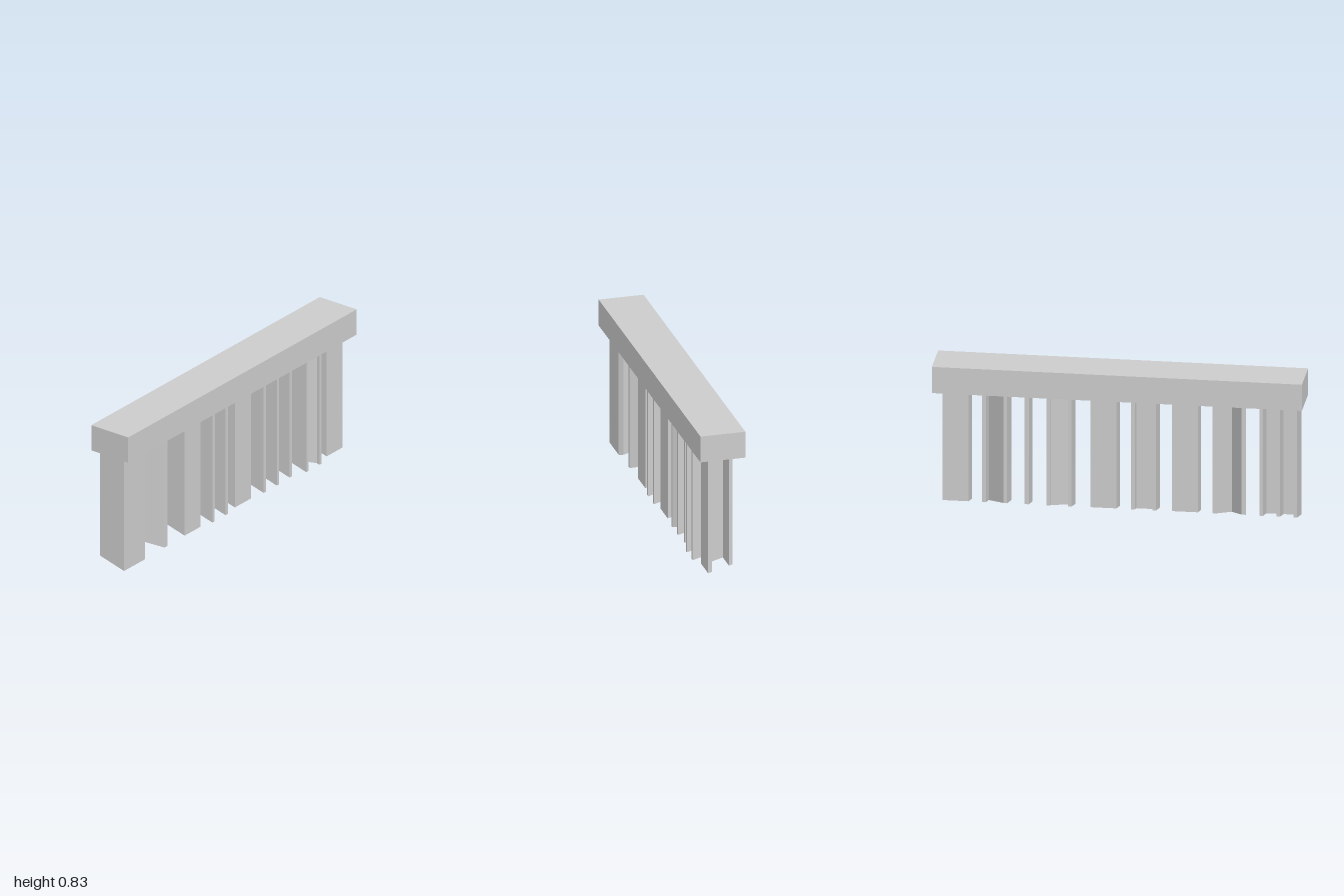
import * as THREE from 'three';

const TOP = 0.675;
const T = 0.02; // plate thickness
const material = new THREE.MeshStandardMaterial({ color: 0xcccccc, flatShading: true });

// Upright prism from [x, z] plan points; its foot is cut along a sloping plane
function prism(name, plan) {
  const shape = new THREE.Shape(plan.map(([x, z]) => new THREE.Vector2(x, -z)));
  const g = new THREE.ExtrudeGeometry(shape, { depth: TOP, bevelEnabled: false });
  g.rotateX(-Math.PI / 2);
  const p = g.attributes.position;
  for (let i = 0; i < p.count; i++) {
    if (p.getY(i) < 0.01) p.setY(i, 0.025 - 0.27 * p.getZ(i));
  }
  g.computeVertexNormals();
  const mesh = new THREE.Mesh(g, material);
  mesh.name = name;
  return mesh;
}

const plate = (name, x0, x1, z0, z1) => prism(name, [[x0, z0], [x1, z0], [x1, z1], [x0, z1]]);

function cluster(name, ...parts) {
  const group = new THREE.Group();
  group.name = name;
  group.add(...parts);
  return group;
}

// Channel section open towards +x
function channel(x0, x1, zb, zf) {
  return cluster('channelRib', prism('channel', [
    [x0, zb], [x1, zb], [x1, zb + T], [x0 + T, zb + T],
    [x0 + T, zf - T], [x1, zf - T], [x1, zf], [x0, zf],
  ]));
}

// Two side plates joined by a web running from z0 (left edge) to z1 (right edge)
function webbed(x0, x1, zb, zf, z0, z1, w) {
  return cluster('webbedRib',
    plate('sidePlate', x0, x0 + T, zb, zf),
    plate('sidePlate', x1 - T, x1, zb, zf),
    prism('web', [[x0 + T, z0 - w], [x1 - T, z1 - w], [x1 - T, z1 + w], [x0 + T, z0 + w]]));
}

export function createModel() {
  const model = new THREE.Group();
  model.name = 'ribbedBeam';

  // Top beam
  const beam = new THREE.Mesh(new THREE.BoxGeometry(2, 0.15, 0.25), material);
  beam.name = 'beam';
  beam.position.y = 0.75;
  model.add(beam);

  // Comb rib: front plate with a chamfered corner and three fins behind
  model.add(cluster('combRib',
    prism('frontPlate', [[-0.97, 0.052], [-0.765, 0.052], [-0.785, 0.074], [-0.97, 0.074]]),
    ...[-0.97, -0.877, -0.785].map((x) => plate('fin', x, x + T, -0.088, 0.052))));

  // Angled rib with its edge to the front
  model.add(cluster('angledRib', prism('angle', [
    [-0.69, -0.075], [-0.668, -0.075], [-0.598, 0.045], [-0.532, -0.075],
    [-0.51, -0.075], [-0.586, 0.07], [-0.61, 0.07],
  ])));

  // Channels, webbed ribs and a single plate along the beam
  model.add(
    channel(-0.43, -0.29, -0.068, 0.066),
    webbed(-0.205, -0.07, -0.075, 0.08, 0, 0, 0.01),
    channel(0.01, 0.15, -0.068, 0.066),
    webbed(0.25, 0.385, -0.085, 0.075, 0.055, -0.05, 0.016),
    cluster('singleRib', plate('plate', 0.483, 0.505, -0.075, 0.07)),
    webbed(0.6, 0.735, -0.075, 0.093, -0.05, 0.06, 0.016),
    channel(0.81, 0.95, -0.068, 0.068));

  return model;
}
